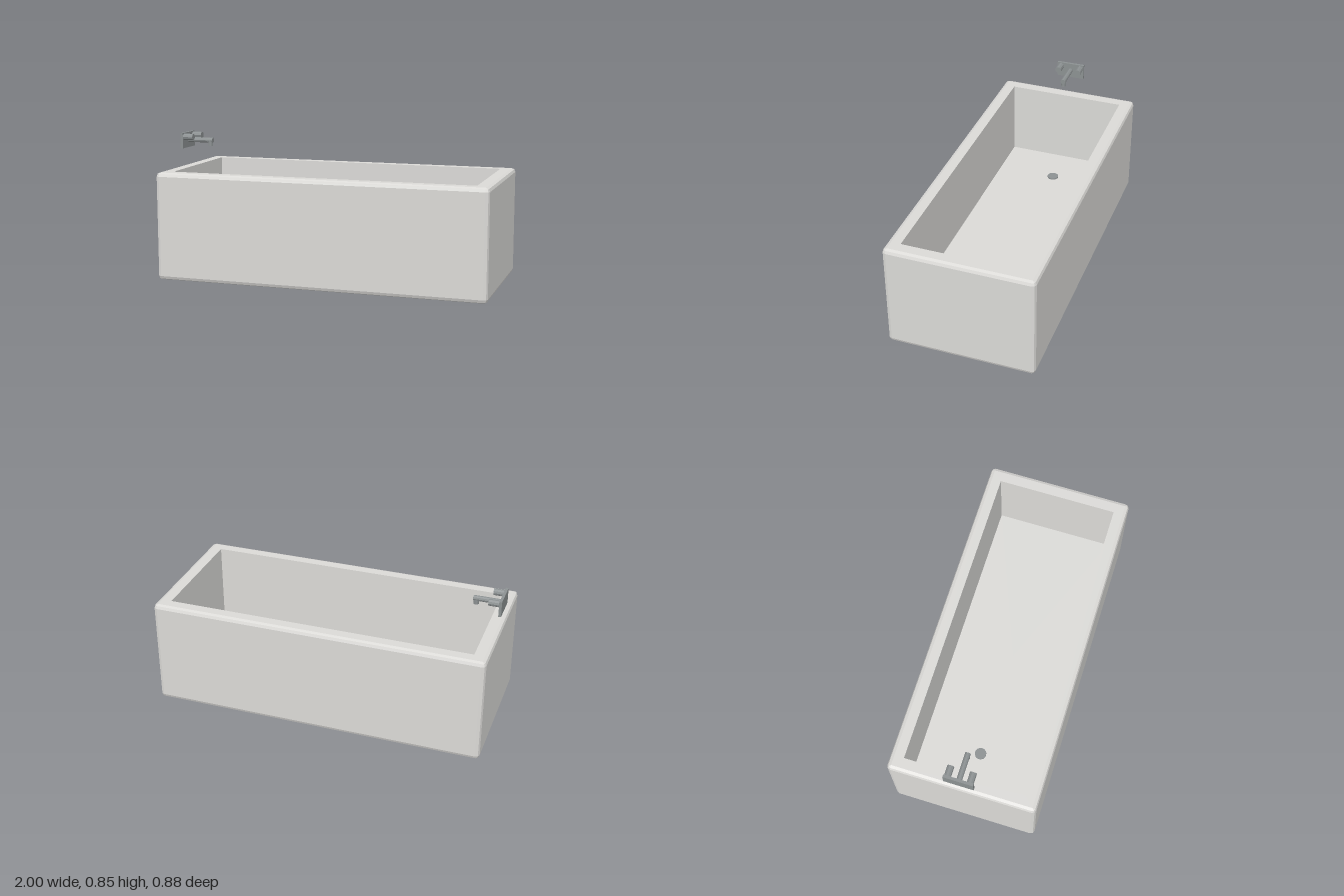
import * as THREE from 'three';

// Horizontal ring with rounded corners, counter-clockwise from above
function ring(hx, hz, r, y) {
  const points = [];
  const signs = [[1, -1], [-1, -1], [-1, 1], [1, 1]];
  signs.forEach(([sx, sz], corner) => {
    for (let k = 0; k <= 2; k++) {
      const a = (corner + k / 2) * Math.PI / 2;
      points.push(new THREE.Vector3(
        sx * (hx - r) + r * Math.cos(a), y, sz * (hz - r) - r * Math.sin(a)));
    }
  });
  return points;
}

// Skin consecutive rings with faceted triangles, skipping collapsed ones
function loft(rings) {
  const pos = [];
  const tri = new THREE.Triangle();
  const add = (a, b, c) => {
    if (tri.set(a, b, c).getArea() > 1e-9) {
      for (const p of [a, b, c]) pos.push(p.x, p.y, p.z);
    }
  };
  for (let i = 0; i < rings.length - 1; i++) {
    const lo = rings[i], hi = rings[i + 1], n = lo.length;
    for (let k = 0; k < n; k++) {
      const m = (k + 1) % n;
      add(lo[k], lo[m], hi[m]);
      add(lo[k], hi[m], hi[k]);
    }
  }
  const geometry = new THREE.BufferGeometry();
  geometry.setAttribute('position', new THREE.Float32BufferAttribute(pos, 3));
  geometry.computeVertexNormals();
  return geometry;
}

export function createModel() {
  const model = new THREE.Group();
  model.name = 'bathtub';

  const stone = new THREE.MeshStandardMaterial({ color: 0xdbdad7, flatShading: true });
  stone.name = 'pale grey stone';
  const metal = new THREE.MeshStandardMaterial({ color: 0x8c9192, flatShading: true });
  metal.name = 'grey metal';

  const add = (parent, name, geometry, material, x = 0, y = 0, z = 0) => {
    const mesh = new THREE.Mesh(geometry, material);
    mesh.name = name;
    mesh.position.set(x, y, z);
    parent.add(mesh);
  };

  // Tub: underside, bevelled outer shell, flat rim, straight-sided basin
  const HX = 1, HZ = 0.44, H = 0.648, R = 0.023, FLOOR = 0.176;
  const rings = [ring(0, 0, 0, 0)];
  for (let k = 0; k <= 2; k++) {
    const a = k * Math.PI / 4, inset = R * (1 - Math.sin(a));
    rings.push(ring(HX - inset, HZ - inset, R - inset, R * (1 - Math.cos(a))));
  }
  for (let k = 0; k <= 2; k++) {
    const a = k * Math.PI / 4, inset = R * (1 - Math.cos(a));
    rings.push(ring(HX - inset, HZ - inset, R - inset, H - R * (1 - Math.sin(a))));
  }
  rings.push(ring(0.917, 0.36, 0, H), ring(0.917, 0.36, 0, FLOOR), ring(0, 0, 0, FLOOR));
  add(model, 'tub', loft(rings), stone);

  // Drain disc on the basin floor
  add(model, 'drain', new THREE.CylinderGeometry(0.035, 0.035, 0.008, 16), metal,
    -0.653, FLOOR + 0.004, -0.003);

  // Wall-mounted tap
  const tap = new THREE.Group();
  tap.name = 'tap';
  tap.position.z = -0.005;
  model.add(tap);
  add(tap, 'tapPlate', new THREE.BoxGeometry(0.016, 0.095, 0.176), metal, -0.992, 0.801, 0);

  // Round bar along x between two positions
  const bar = (name, radius, x0, x1, y, z) => {
    const g = new THREE.CylinderGeometry(radius, radius, x1 - x0, 10).rotateZ(Math.PI / 2);
    add(tap, name, g, metal, (x0 + x1) / 2, y, z);
  };
  bar('leftKnob', 0.02, -0.99, -0.922, 0.824, 0.065);
  bar('rightKnob', 0.02, -0.99, -0.922, 0.824, -0.065);
  bar('spout', 0.016, -0.99, -0.82, 0.801, 0);
  add(tap, 'spoutOutlet', new THREE.CylinderGeometry(0.016, 0.016, 0.036, 8), metal,
    -0.836, 0.784, 0);

  return model;
}
